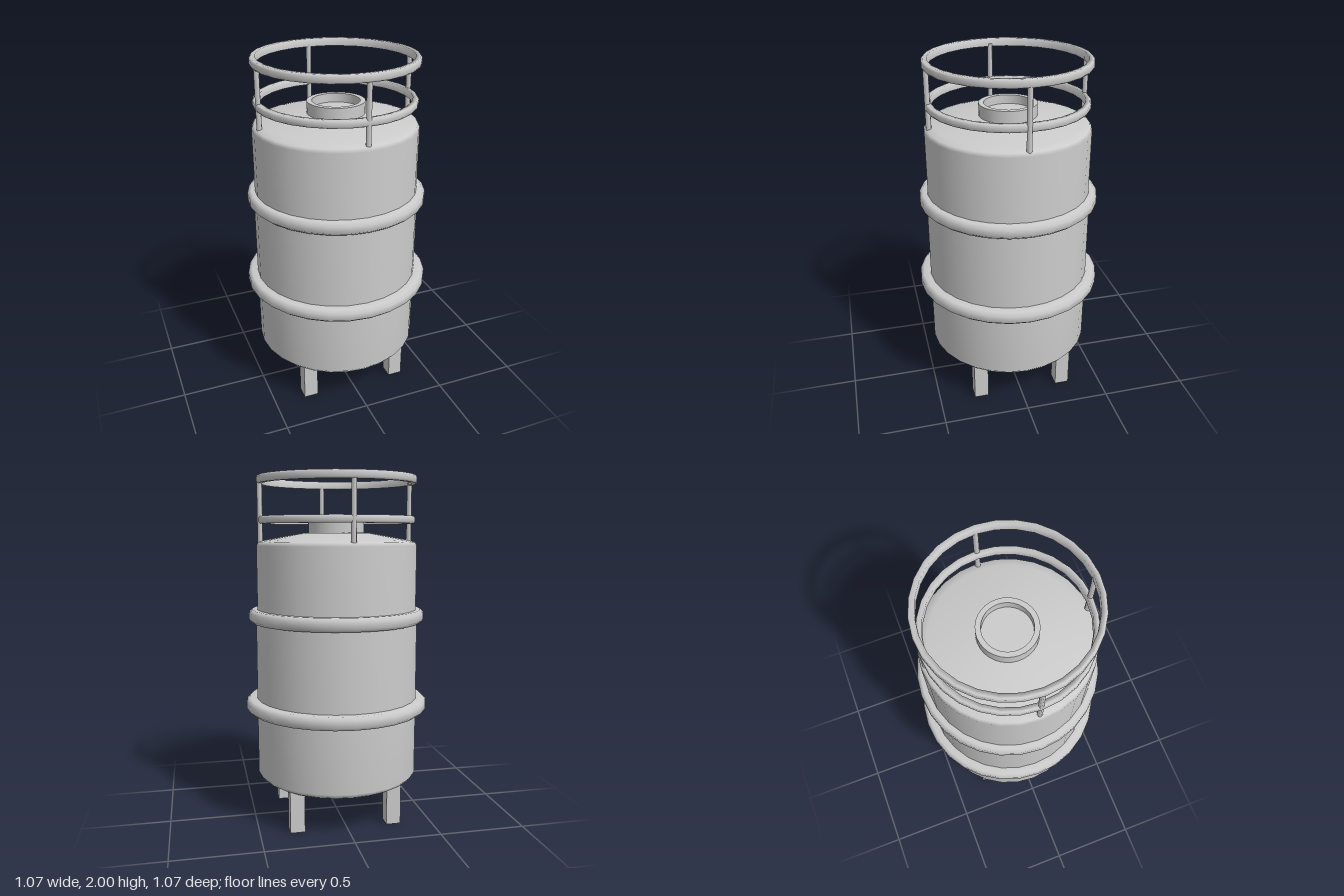
import * as THREE from 'three';

const mat = new THREE.MeshStandardMaterial({ color: 0xcccccc });
const thinMat = new THREE.MeshStandardMaterial({ color: 0xcccccc, side: THREE.DoubleSide });
const SEG = 28;

export function createModel() {
  const model = new THREE.Group();

  const add = (name, geometry, x = 0, y = 0, z = 0, material = mat) => {
    const mesh = new THREE.Mesh(geometry, material);
    mesh.name = name;
    mesh.position.set(x, y, z);
    model.add(mesh);
    return mesh;
  };
  const lathe = (points, seg = SEG) =>
    new THREE.LatheGeometry(points.map(([r, y]) => new THREE.Vector2(r, y)), seg);

  // Tank with a chamfered base, a slight taper and a shallow conical top
  add('tank', lathe([
    [0, 0.23], [0.43, 0.23], [0.455, 0.245], [0.476, 0.27], [0.476, 0.68],
    [0.474, 1.2], [0.466, 1.25], [0.466, 1.61], [0.455, 1.63], [0.41, 1.642], [0.2, 1.68], [0, 1.69],
  ]), -0.003);

  // Open filler neck with a recessed floor
  add('fillerNeck', lathe([
    [0.162, 1.66], [0.162, 1.75], [0.162, 1.75], [0.133, 1.75], [0.133, 1.75],
    [0.133, 1.70], [0.133, 1.70], [0, 1.70],
  ], 32), 0, 0, 0, thinMat);

  // Rounded hoops around the tank
  const hoop = (name, outer, y) => add(name, lathe([
    [outer - 0.07, y - 0.038], [outer - 0.02, y - 0.038], [outer, y - 0.02], [outer, y + 0.02],
    [outer - 0.02, y + 0.038], [outer - 0.07, y + 0.038],
  ]), 0, 0, 0, thinMat);
  hoop('lowerHoop', 0.536, 0.683);
  hoop('upperHoop', 0.512, 1.207);

  // Guard rails above the top
  const rail = (name, outer, bottom, top) => add(name, lathe([
    [outer - 0.032, bottom], [outer - 0.008, bottom], [outer, bottom + 0.01], [outer, top - 0.01],
    [outer - 0.008, top], [outer - 0.032, top], [outer - 0.032, bottom],
  ]), -0.003, 0, 0, thinMat);
  rail('lowerRail', 0.453, 1.733, 1.775);
  rail('topRail', 0.46, 1.955, 2.0);

  // Four rail posts
  for (let i = 0; i < 4; i++) {
    const a = i * Math.PI / 2;
    add('railPost', new THREE.CylinderGeometry(0.015, 0.015, 0.36, 8),
      0.44 * Math.sin(a), 1.79, 0.44 * Math.cos(a));
  }

  // Four square legs
  for (const x of [-0.277, 0.288])
    for (const z of [-0.266, 0.248])
      add('leg', new THREE.BoxGeometry(0.084, 0.25, 0.084), x, 0.125, z);

  return model;
}
